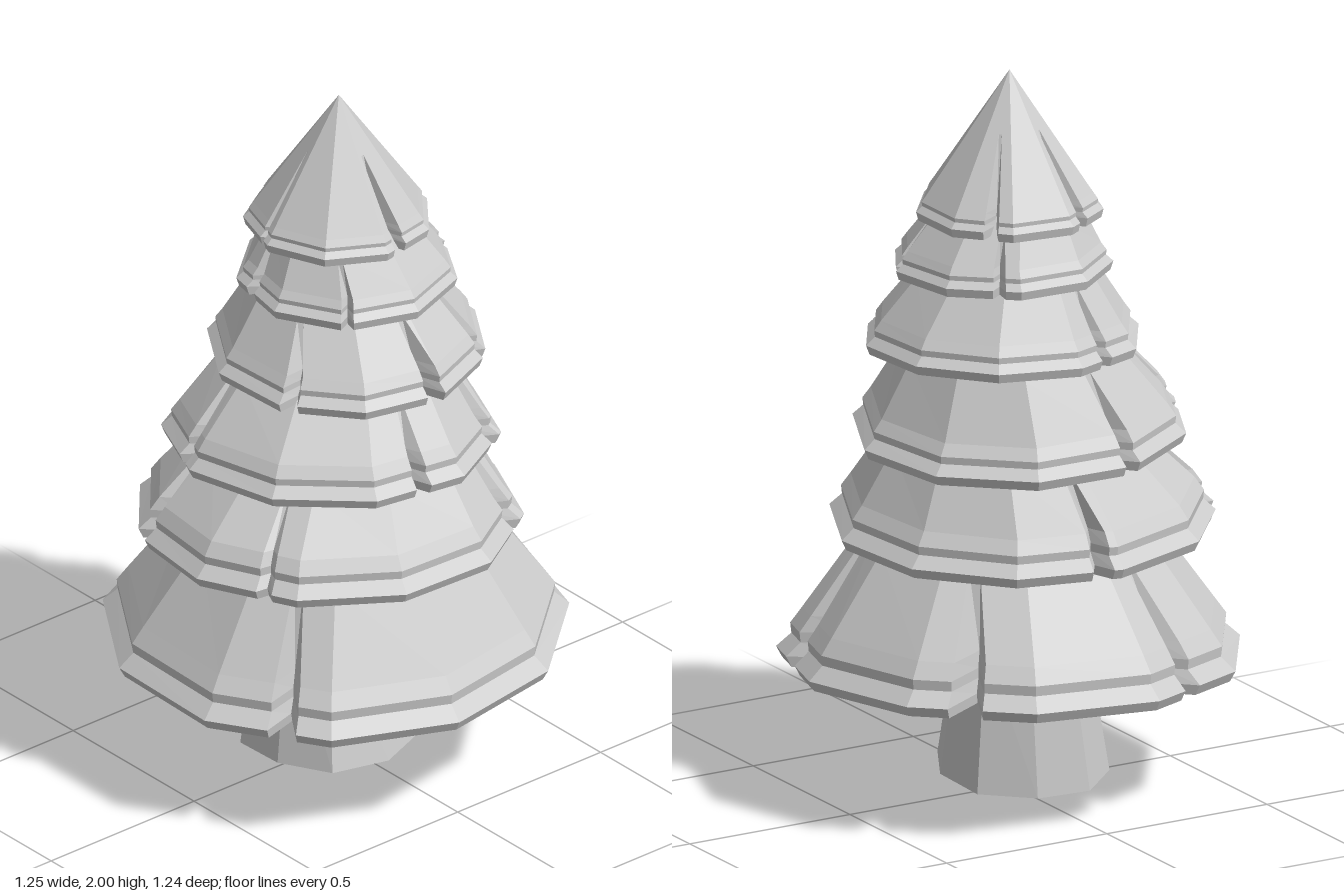
import * as THREE from 'three';

const material = new THREE.MeshStandardMaterial({ color: 0xcccccc, flatShading: true });
const { lerp, degToRad } = THREE.MathUtils;
const TURN = Math.PI * 2;
const wrap = (a) => ((a % TURN) + TURN) % TURN;

// Skin a stack of equal-length rings, top to bottom; a ring of one point closes an end
function loft(name, rings) {
  const points = [];
  for (let j = 0; j < rings.length - 1; j++) {
    const up = rings[j], low = rings[j + 1];
    const n = Math.max(up.length, low.length);
    for (let i = 0; i < n; i++) {
      const k = (i + 1) % n;
      if (up.length === 1) points.push(up[0], low[k], low[i]);
      else if (low.length === 1) points.push(up[i], up[k], low[0]);
      else points.push(up[i], up[k], low[i], up[k], low[k], low[i]);
    }
  }
  const geometry = new THREE.BufferGeometry().setFromPoints(points);
  geometry.computeVertexNormals();
  const mesh = new THREE.Mesh(geometry, material);
  mesh.name = name;
  return mesh;
}

// Regular polygon with V notches given as [angle, depth], sorted by angle
function outline(sides, rot, notches) {
  const step = TURN / sides;
  const radius = (a) => Math.cos(step / 2) / Math.cos((wrap(a - rot) % step) - step / 2);
  const corners = [];
  for (let i = 0; i < sides; i++) {
    const a = wrap(rot + i * step);
    const clear = notches.every(([deg]) => Math.cos(a - degToRad(deg)) < Math.cos(degToRad(5.5)));
    if (clear) corners.push({ a, r: 1, cut: 0 });
  }
  for (const [deg, depth] of notches) {
    // deeper notches are wider
    const width = 2 + depth * 10;
    for (const side of [-1, 0, 1]) {
      const a = wrap(degToRad(deg + side * width));
      corners.push({ a, r: radius(a), cut: side === 0 ? depth : 0 });
    }
  }
  return corners.sort((p, q) => p.a - q.a);
}

// One skirt of branches: sloped face, soft bend, small step, flared lip and flat underside
function branchTier(tier, i, all) {
  const { name, y, r, x: cx, z: cz, tilt, notches } = tier;
  const next = all[i + 1];
  const top = next ? next.y + 0.05 : 2;
  const topR = next ? next.r * 0.66 : 0;
  const axis = { x: 0.02, z: 0.01 };
  const corners = outline(11 - Math.floor(i / 2), degToRad(8.5 + i * 8), notches);

  // low runs from 0 at the top to 1 at the rim, cut is the share of the notch depth
  const ring = (height, size, low, cut) => corners.map((c) => {
    const px = Math.cos(c.a) * c.r, pz = Math.sin(c.a) * c.r;
    const s = size * (1 - c.cut * cut);
    return new THREE.Vector3(
      lerp(axis.x, cx, low) + px * s,
      height + low * tilt * (px + pz),
      lerp(axis.z, cz, low) + pz * s);
  });
  const start = 0.25 + i * 0.04, bendY = y + r * 0.19, bendR = r * 0.89;
  const rings = [
    [new THREE.Vector3(axis.x, top, axis.z)],
    ring(lerp(top, bendY, start), lerp(topR, bendR, start), start, 0),
    ring(bendY, bendR, 1, 0.9),
    ring(y + r * 0.12, r * 0.94, 1, 0.95),
    ring(y + r * 0.075, r * 0.935, 1, 0.95),
    ring(y + r * 0.015, r, 1, 1),
    ring(y - 0.02, r * 0.975, 1, 1),
    [new THREE.Vector3(cx, y - 0.02, cz)],
  ];
  if (next) rings.splice(1, 0, ring(top, topR, 0, 0));
  return loft(name, rings);
}

// Tiers from the ground up; notch angles run in degrees from +x towards +z
const tiers = [
  { name: 'bottomBranches', y: 0.37, r: 0.63, x: 0, z: 0.005, tilt: -0.013,
    notches: [[54, 0.18], [158, 0.12], [223, 0.25], [289, 0.24]] },
  { name: 'secondBranches', y: 0.735, r: 0.525, x: 0.033, z: 0.06, tilt: 0.014,
    notches: [[60, 0.06], [115, 0.17], [186, 0.12], [318, 0.14]] },
  { name: 'thirdBranches', y: 0.99, r: 0.455, x: 0.035, z: 0.05, tilt: 0.017,
    notches: [[5, 0.12], [105, 0.17], [168, 0.14], [318, 0.15]] },
  { name: 'fourthBranches', y: 1.245, r: 0.38, x: 0.045, z: 0.003, tilt: -0.005,
    notches: [[0, 0.2], [65, 0.17], [160, 0.14], [320, 0.16]] },
  { name: 'fifthBranches', y: 1.46, r: 0.3, x: 0.03, z: -0.01, tilt: -0.003,
    notches: [[40, 0.14], [106, 0.2], [212, 0.15], [285, 0.18]] },
  { name: 'topBranches', y: 1.62, r: 0.255, x: 0.01, z: 0.003, tilt: 0.003,
    notches: [[97, 0.06], [155, 0.3], [223, 0.3], [357, 0.35]] },
];

// Rough-hewn trunk with a slanted, slightly pointed foot
function trunk() {
  const sides = 9;
  const ring = (y, cx, cz, rx, rz, slant) => Array.from({ length: sides }, (_, i) => {
    const a = (i / sides) * TURN;
    const s = 1 + 0.05 * Math.sin(i * 2.3);
    return new THREE.Vector3(cx + Math.cos(a) * rx * s, y + slant * Math.cos(a), cz + Math.sin(a) * rz * s);
  });
  return loft('trunk', [
    [new THREE.Vector3(-0.02, 0.45, 0.01)],
    ring(0.45, -0.025, 0.01, 0.175, 0.175, 0),
    ring(0.045, 0.01, 0.035, 0.245, 0.23, 0.02),
    [new THREE.Vector3(-0.02, 0, 0.03)],
  ]);
}

export function createModel() {
  const tree = new THREE.Group();
  tree.name = 'pineTree';
  tree.add(trunk(), ...tiers.map(branchTier));
  return tree;
}
